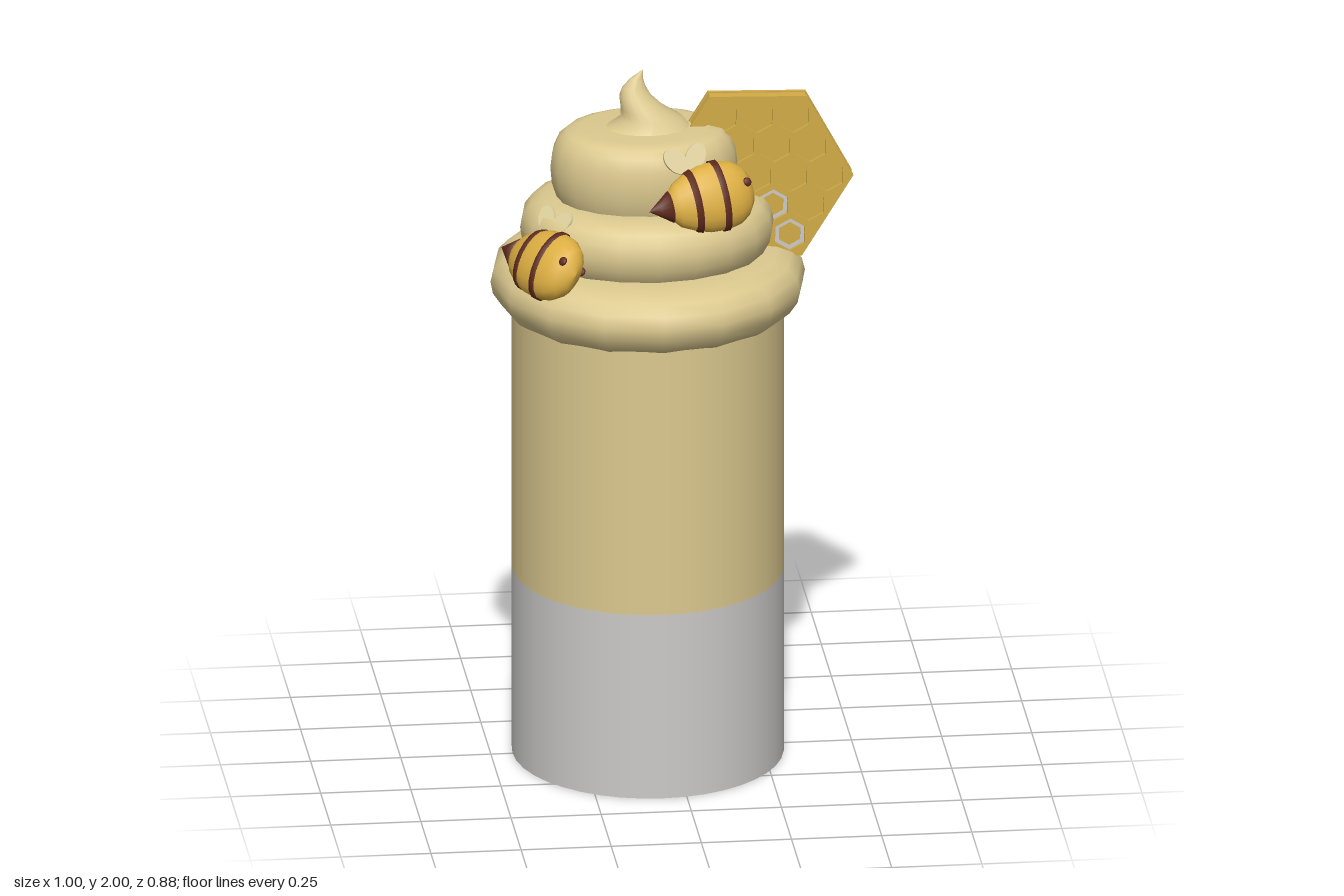
import * as THREE from 'three';

const mat = (name, color, side = THREE.FrontSide) => {
  const m = new THREE.MeshStandardMaterial({ color, side });
  m.name = name;
  return m;
};

export function createModel() {
  const cream = mat('cream', 0xdcc98f);
  const grey = mat('pale grey', 0xcbcac9);
  const honey = mat('honey gold', 0xd2ab48);
  const yellow = mat('bee yellow', 0xdcae42);
  const brown = mat('dark brown', 0x5e2a1c);
  const wingMat = mat('wing cream', 0xe2d3a0, THREE.DoubleSide);

  const root = new THREE.Group();
  root.name = 'creamDrink';
  const add = (parent, name, geo, material, x = 0, y = 0, z = 0) => {
    const m = new THREE.Mesh(geo, material);
    m.name = name;
    m.position.set(x, y, z);
    parent.add(m);
    return m;
  };
  const lathe = (pts, n) => new THREE.LatheGeometry(pts.map(p => new THREE.Vector2(p[0], p[1])), n);
  const CX = -0.065;

  // Cup: clear lower band and filled upper band
  const cup = new THREE.Group();
  cup.name = 'cup';
  cup.position.x = CX;
  cup.scale.set(0.375, 1, 0.395);
  root.add(cup);
  add(cup, 'cupBottom', new THREE.CylinderGeometry(1, 1, 0.54, 40), grey, 0, 0.27);
  add(cup, 'cupFilling', new THREE.CylinderGeometry(1, 1, 0.8, 40), cream, 0, 0.94);

  // Whipped cream: three rounded tiers [x centre, x radius, z radius, bottom, top]
  const tiers = [
    [CX, 0.436, 0.442, 1.305, 1.48],
    [-0.067, 0.352, 0.312, 1.46, 1.64],
    [-0.075, 0.26, 0.21, 1.61, 1.835],
  ];
  tiers.forEach(([x, rx, rz, y0, y1], i) => {
    const profile = [[0, 0], [0.87, 0], [0.93, 0.1], [0.985, 0.3], [1, 0.5],
      [0.98, 0.7], [0.92, 0.86], [0.83, 0.95], [0.68, 1], [0, 1]];
    const geo = lathe(profile, i === 0 ? 16 : 20);
    geo.scale(rx, y1 - y0, rz);
    add(root, 'creamTier' + (i + 1), geo, cream, x, y0);
  });

  // Peak: rings [x centre, y, x radius, z radius] sweeping up to a curled tip
  const rings = [
    [-0.07, 1.81, 0.16, 0.12], [-0.065, 1.835, 0.115, 0.085], [-0.055, 1.86, 0.085, 0.073],
    [-0.08, 1.89, 0.06, 0.056], [-0.1, 1.925, 0.044, 0.035], [-0.103, 1.95, 0.033, 0.024],
    [-0.096, 1.975, 0.018, 0.012], [-0.079, 2.0, 0.0005, 0.0005],
  ];
  const peak = lathe(rings.map((r, i) => [1, i]), 18);
  const pp = peak.attributes.position;
  for (let i = 0; i < pp.count; i++) {
    const [cx, y, rx, rz] = rings[Math.round(pp.getY(i))];
    pp.setXYZ(i, cx + pp.getX(i) * rx, y, pp.getZ(i) * rz);
  }
  peak.computeVertexNormals();
  add(root, 'creamPeak', peak, cream);

  // Honeycomb wafer: solid core with a pierced hexagonal sheet on each face
  const hexPoints = (r, turn, cx = 0, cy = 0) => Array.from({ length: 6 }, (_, i) => {
    const a = turn + i * Math.PI / 3;
    return new THREE.Vector2(cx + r * Math.cos(a), cy + r * Math.sin(a));
  });
  const extrude = (shape, depth) => new THREE.ExtrudeGeometry(shape, { depth, bevelEnabled: false });
  const comb = new THREE.Group();
  comb.name = 'honeycomb';
  comb.position.set(0.232, 1.682, 0);
  comb.rotation.z = -0.03;
  root.add(comb);

  const R = 0.271, pitch = 0.1, cells = [];
  for (let q = -2; q <= 2; q++) for (let r = -2; r <= 2; r++) {
    if (Math.abs(q + r) <= 2) cells.push([pitch * (q + r / 2), pitch * r * Math.sqrt(3) / 2]);
  }
  const sheet = new THREE.Shape(hexPoints(R, 0));
  for (const [x, y] of cells) sheet.holes.push(new THREE.Path(hexPoints(0.047, Math.PI / 6, x, y)));
  const sheetGeo = extrude(sheet, 0.01);
  add(comb, 'combCore', extrude(new THREE.Shape(hexPoints(R - 0.004, 0)), 0.03), honey, 0, 0, -0.015);
  add(comb, 'combFront', sheetGeo, honey, 0, 0, 0.015);
  add(comb, 'combBack', sheetGeo, honey, 0, 0, -0.025);

  // Pale rings in the lower cells
  const ring = new THREE.Shape(hexPoints(0.046, Math.PI / 6));
  ring.holes.push(new THREE.Path(hexPoints(0.034, Math.PI / 6)));
  const ringGeo = extrude(ring, 0.002);
  for (const [x, y] of cells.filter(c => c[1] < -0.05 && c[0] < 0.12)) {
    add(comb, 'cellRing', ringGeo, grey, x, y, 0.015);
    add(comb, 'cellRing', ringGeo, grey, x, y, -0.017);
  }

  // Bees: flattened bodies turned about x, heading along local +x
  const bodyCurve = [[-0.135, 0], [-0.13, 0.03], [-0.1, 0.062], [-0.06, 0.083], [-0.02, 0.095],
    [0.03, 0.098], [0.07, 0.09], [0.1, 0.072], [0.12, 0.042], [0.128, 0]];
  const radiusAt = x => {
    const i = bodyCurve.findIndex(p => p[0] >= x);
    const [a, b] = [bodyCurve[i - 1], bodyCurve[i]];
    return a[1] + (b[1] - a[1]) * (x - a[0]) / (b[0] - a[0]);
  };
  const turned = pts => {
    const g = lathe(pts.map(([x, r]) => [r, x]), 18);
    g.rotateZ(-Math.PI / 2);
    g.scale(1, 1, 0.6);
    return g;
  };
  const makeBee = (name, pos, yaw, lean, roll) => {
    const bee = new THREE.Group();
    bee.name = name;
    bee.position.set(...pos);
    bee.rotation.set(lean, yaw, roll, 'YXZ');
    root.add(bee);
    add(bee, 'beeBody', turned(bodyCurve), yellow);
    for (const x of [-0.055, 0.025]) {
      const r0 = radiusAt(x - 0.009), r1 = radiusAt(x + 0.009);
      add(bee, 'beeStripe', turned([[x - 0.01, r0 - 0.01], [x - 0.009, r0 + 0.004],
        [x + 0.009, r1 + 0.004], [x + 0.01, r1 - 0.01]]), brown);
    }
    add(bee, 'beeStinger', turned([[-0.185, 0], [-0.15, 0.024], [-0.12, 0.045], [-0.115, 0]]), brown);
    for (const s of [-1, 1]) {
      const eye = add(bee, 'beeEye', new THREE.SphereGeometry(0.013, 12, 8), brown, 0.1, 0.02, s * 0.041);
      eye.scale.z = 0.6;
      // Rounded wings spreading into a heart
      const wing = new THREE.Shape();
      wing.absellipse(0, 0, 0.028, 0.042, 0, Math.PI * 2);
      const w = add(bee, 'beeWing', extrude(wing, 0.008), wingMat, -0.045 + s * 0.029, 0.118, -0.008);
      w.rotation.z = -s * 0.65;
    }
  };
  makeBee('frontBee', [0.085, 1.695, 0.212], 0.28, -0.4, 0.08);
  makeBee('sideBee', [-0.373, 1.52, 0.215], -0.98, -0.62, 0.02);

  return root;
}
